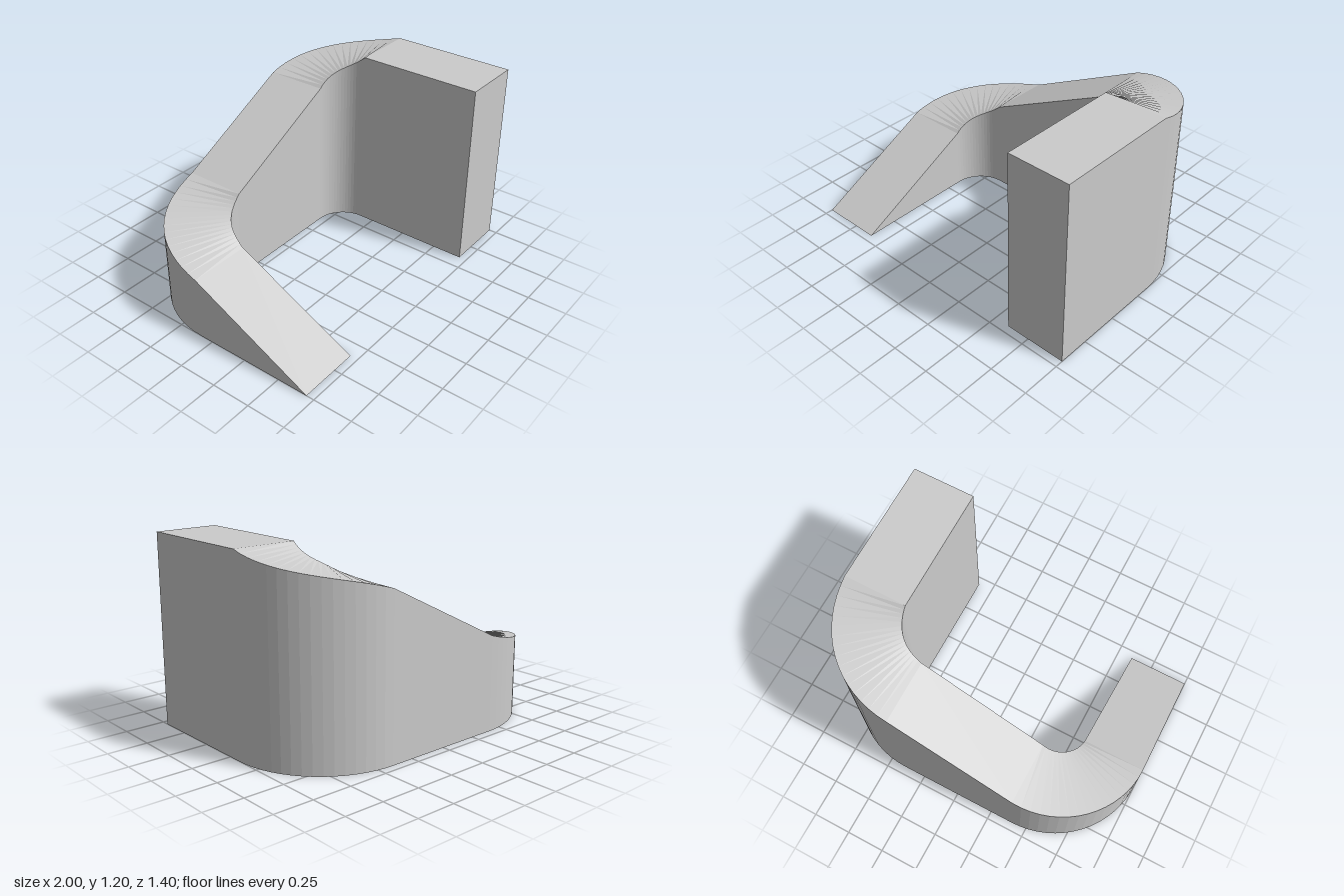
import * as THREE from 'three';

const INNER = 0.2, OUTER = 0.6, CORNER_X = 0.4, CORNER_Z = -0.1, STEPS = 16;

// Height easing round a corner: slightly steeper at both ends
const ease = (t) => t + 0.5 * t * (1 - t) * (1 - 2 * t);

// Cross-section of the wall: inner and outer plan points and the top height
function makeStations() {
  const list = [{ inner: [-0.6, 0.7], outer: [-1, 0.7], h: 0 }];
  for (const side of [-1, 1]) {
    for (let i = 0; i <= STEPS; i++) {
      const t = i / STEPS;
      const a = (side < 0 ? t : 1 - t) * Math.PI / 2;
      const at = (r) => [side * (CORNER_X + r * Math.cos(a)), CORNER_Z - r * Math.sin(a)];
      list.push({ inner: at(INNER), outer: at(OUTER), h: (side < 0 ? 0.4 : 1.0) + 0.2 * ease(t) });
    }
  }
  list.push({ inner: [0.6, 0.7], outer: [1, 0.7], h: 1.2 });
  return list;
}

function rampGeometry() {
  const rings = makeStations().map(({ inner, outer, h }) => [
    new THREE.Vector3(inner[0], 0, inner[1]),
    new THREE.Vector3(outer[0], 0, outer[1]),
    new THREE.Vector3(outer[0], h, outer[1]),
    new THREE.Vector3(inner[0], h, inner[1]),
  ]);
  const points = [];
  const quad = (a, b, c, d) => points.push(a, b, c, a, c, d);

  // Bottom, outer wall, sloping top and inner wall between cross-sections
  for (let i = 0; i < rings.length - 1; i++) {
    const p = rings[i], q = rings[i + 1];
    for (let k = 0; k < 4; k++) {
      const n = (k + 1) % 4;
      // The ramp starts at zero height, so its first walls are triangles
      if (i === 0 && k === 1) points.push(p[1], q[2], q[1]);
      else if (i === 0 && k === 3) points.push(p[0], q[0], q[3]);
      else quad(p[k], p[n], q[n], q[k]);
    }
  }
  // Tall end face
  const e = rings[rings.length - 1];
  quad(e[0], e[1], e[2], e[3]);

  const geometry = new THREE.BufferGeometry().setFromPoints(points);
  geometry.computeVertexNormals();
  return geometry;
}

export function createModel() {
  const group = new THREE.Group();
  group.name = 'uShapedRamp';
  const material = new THREE.MeshStandardMaterial({
    color: 0xcccccc, flatShading: true, side: THREE.DoubleSide,
  });
  const ramp = new THREE.Mesh(rampGeometry(), material);
  ramp.name = 'ramp';
  group.add(ramp);
  return group;
}
